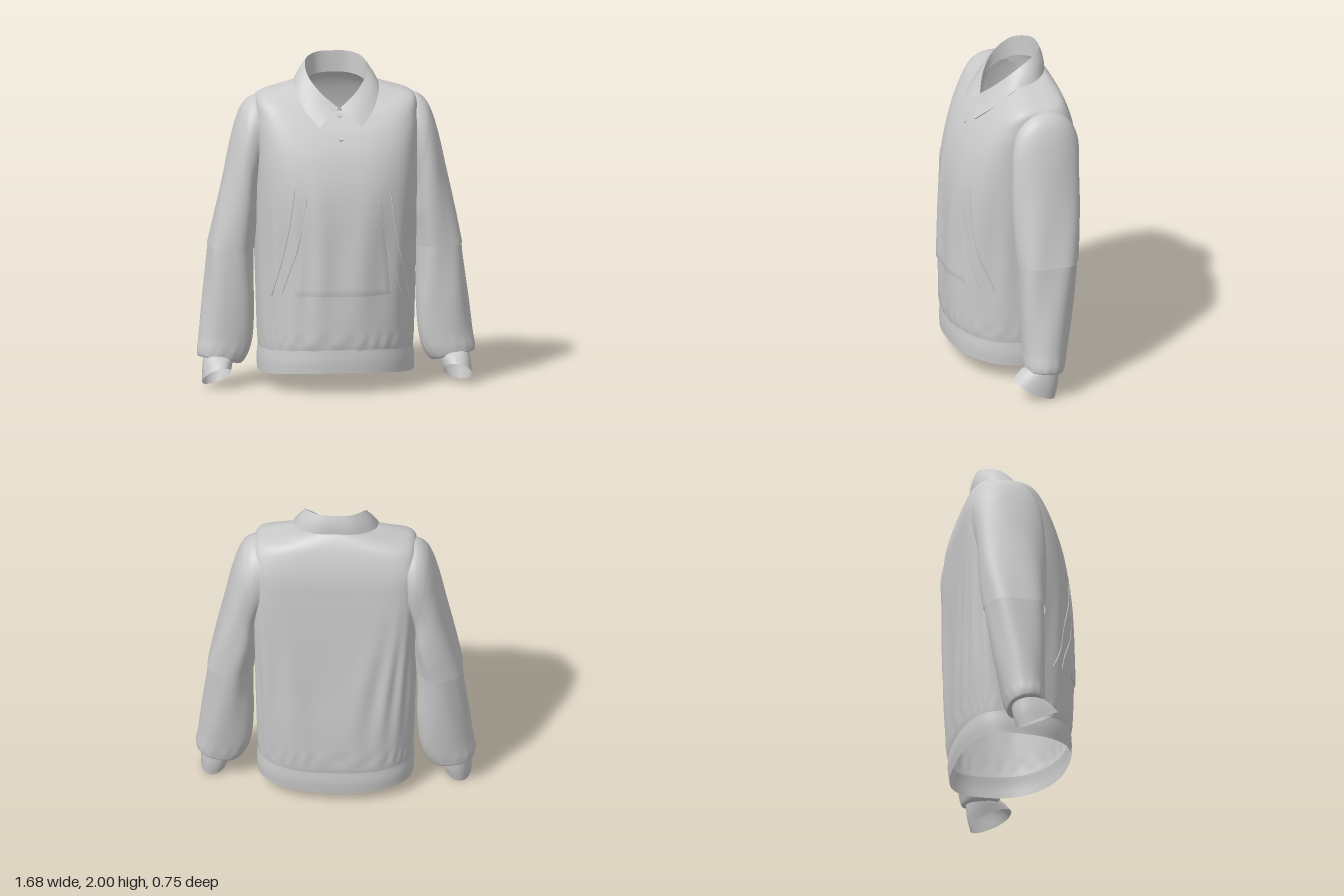
import * as THREE from 'three';

const V = (x, y, z) => new THREE.Vector3(x, y, z);
const cloth = new THREE.MeshStandardMaterial({ color: 0xcccccc, side: THREE.DoubleSide });

// Skin a grid of points: rows[i][j], each row optionally closed into a ring; hole(p) leaves faces out
function skin(name, rows, closed, hole = () => false) {
  const n = rows[0].length, m = closed ? n : n - 1, index = [];
  for (let i = 0; i < rows.length - 1; i++)
    for (let j = 0; j < m; j++) {
      const a = i * n + j, b = i * n + (j + 1) % n;
      if (!hole(rows[i][j])) index.push(a, a + n, b, b, a + n, b + n);
    }
  const geo = new THREE.BufferGeometry().setFromPoints(rows.flat());
  geo.setIndex(index);
  geo.computeVertexNormals();
  const mesh = new THREE.Mesh(geo, cloth);
  mesh.name = name;
  return mesh;
}

// Smooth a few key rings into many, column by column
function smooth(rings, steps) {
  const curves = rings[0].map((_, j) => new THREE.CatmullRomCurve3(rings.map(r => r[j]), false, 'centripetal'));
  return Array.from({ length: steps + 1 }, (_, i) => curves.map(c => c.getPoint(i / steps)));
}

const spow = (v, p) => Math.sign(v) * Math.abs(v) ** p;
const bump = (y, mid, width) => Math.exp(-(((y - mid) / width) ** 2));

// Torso ring: half width, front z, back z, heights at front / side / back, squareness front / back
function torsoRing([hx, zf, zb, yf, ys, yb, nf, nb]) {
  const z0 = -0.08;
  return Array.from({ length: 160 }, (_, j) => {
    const a = j / 160 * Math.PI * 2, c = Math.cos(a), s = Math.sin(a), front = s >= 0;
    const p = 2 / (front ? nf : nb), sz = Math.abs(s) ** p;
    return V(hx * spow(c, p), ys + ((front ? yf : yb) - ys) * s * s, z0 + ((front ? zf : zb) - z0) * sz);
  });
}

// Soft vertical folds on the body and fine gathers above the hem
function foldTorso(rows) {
  for (const row of rows)
    row.forEach((p, j) => {
      const a = j / row.length * Math.PI * 2;
      const d = 0.008 * bump(p.y, 0.8, 0.35) * Math.sin(a * 15 + 1.5 * Math.sin(a * 3) + p.y)
        + 0.004 * bump(p.y, 0.31, 0.04) * Math.sin(a * 27 + 2 * Math.sin(a * 5));
      p.x += d * Math.cos(a) * 0.5;
      p.z += d * Math.sin(a);
    });
  return rows;
}

// Armhole in the body, hidden under the sleeve head
const armhole = p => Math.abs(p.x) > 0.4 && ((p.y - 1.49) / 0.19) ** 2 + ((p.z + 0.12) / 0.15) ** 2 < 1;

// Sleeve ring: outer x, y, inner x, y, front z, back z
function sleeveRing([xo, yo, xi, yi, zf, zb], tilt = 0) {
  return Array.from({ length: 56 }, (_, j) => {
    const a = j / 56 * Math.PI * 2, c = spow(Math.cos(a), 0.9), s = spow(Math.sin(a), 0.9);
    return V((xo + xi) / 2 + (xo - xi) / 2 * c, (yo + yi) / 2 + (yo - yi) / 2 * c + tilt * s,
      (zf + zb) / 2 + (zf - zb) / 2 * s);
  });
}

function foldSleeve(rows) {
  for (const row of rows)
    row.forEach((p, j) => {
      const a = j / row.length * Math.PI * 2;
      const d = 0.006 * bump(p.y, 0.85, 0.5) * Math.sin(a * 5 + p.y * 5) + 0.002 * bump(p.y, 0.22, 0.05) * Math.sin(a * 14);
      p.x += d * Math.cos(a);
      p.z += d * Math.sin(a);
    });
  return rows;
}

function createSleeve() {
  const g = new THREE.Group();
  const upper = [
    [0.44, 1.757, 0.45, 1.27, 0.07, -0.322], [0.5, 1.75, 0.462, 1.245, 0.083, -0.328],
    [0.55, 1.71, 0.47, 1.2, 0.095, -0.325], [0.588, 1.635, 0.475, 1.16, 0.1, -0.318],
    [0.627, 1.5, 0.475, 1.1, 0.105, -0.312], [0.67, 1.3, 0.475, 1.02, 0.105, -0.31],
    [0.72, 1.08, 0.485, 0.93, 0.1, -0.3], [0.772, 0.85, 0.492, 0.835, 0.093, -0.28]];
  const lower = [
    [0.765, 0.87, 0.498, 0.85, 0.086, -0.274], [0.785, 0.68, 0.496, 0.68, 0.083, -0.25],
    [0.808, 0.48, 0.49, 0.48, 0.08, -0.22], [0.828, 0.3, 0.505, 0.28, 0.074, -0.185],
    [0.84, 0.215, 0.54, 0.18, 0.073, -0.165], [0.832, 0.185, 0.58, 0.135, 0.065, -0.15],
    [0.79, 0.185, 0.63, 0.15, 0.05, -0.125]];
  g.add(skin('upperSleeve', foldSleeve(smooth(upper.map(r => sleeveRing(r)), 50)), true));
  g.add(skin('lowerSleeve', foldSleeve(smooth(lower.map(r => sleeveRing(r, 0.012)), 44)), true));
  // Cuff tilts forward and inward as it leaves the sleeve
  g.add(skin('cuff', smooth([
    sleeveRing([0.8, 0.2, 0.625, 0.17, 0.055, -0.13], 0.02), sleeveRing([0.812, 0.12, 0.632, 0.135, 0.105, -0.12], 0.045),
    sleeveRing([0.815, 0.045, 0.645, 0.09, 0.15, -0.1], 0.06)], 10), true));
  return g;
}

// Half outline from centre back to centre front, mirrored into a full loop
function collarLine(half) {
  const pts = [...half.slice(1).reverse().map(([x, y, z]) => V(-x, y, z)), ...half.map(p => V(...p))];
  return new THREE.CatmullRomCurve3(pts, false, 'centripetal').getPoints(90);
}

function createCollar() {
  const base = collarLine([[0, 1.87, -0.22], [0.1, 1.865, -0.2], [0.172, 1.845, -0.1], [0.172, 1.8, 0], [0.1, 1.73, 0.085], [0.003, 1.685, 0.125]]);
  const fold = collarLine([[0, 2, -0.218], [0.1, 1.997, -0.2], [0.175, 1.97, -0.11], [0.178, 1.895, 0], [0.11, 1.8, 0.085], [0.005, 1.71, 0.14]]);
  const edge = collarLine([[0, 1.88, -0.238], [0.13, 1.873, -0.224], [0.235, 1.855, -0.14], [0.257, 1.823, -0.01], [0.215, 1.71, 0.118], [0.13, 1.605, 0.218]]);
  // The fall bows slightly outward between the fold and its edge
  const fall = t => fold.map((p, j) => {
    const q = p.clone().lerp(edge[j], t), lift = 0.007 * Math.sin(Math.PI * t), r = Math.hypot(q.x, q.z + 0.06);
    return q.add(V(q.x / r * lift, lift * 0.4, (q.z + 0.06) / r * lift));
  });
  const under = edge.map(p => V(p.x * 0.97, p.y - 0.004, p.z > 0 ? p.z - 0.01 : p.z * 0.97));
  const g = new THREE.Group();
  g.name = 'collar';
  g.add(skin('collarStand', [0, 0.25, 0.5, 0.75, 1].map(t => base.map((p, j) => p.clone().lerp(fold[j], t))), false));
  g.add(skin('collarFall', [0, 0.1, 0.25, 0.4, 0.55, 0.7, 0.85, 1].map(fall), false));
  g.add(skin('collarEdge', [edge, under], false));
  return g;
}

export function createModel() {
  const model = new THREE.Group();

  // Body, from the hem seam up over the shoulders to the neckline
  const torso = skin('torso', foldTorso(smooth([
    [0.464, 0.354, -0.35, 0.26, 0.23, 0.2, 2.4, 2.7], [0.468, 0.362, -0.358, 0.31, 0.28, 0.25, 2.4, 2.7],
    [0.476, 0.368, -0.367, 0.5, 0.5, 0.5, 2.35, 3], [0.482, 0.364, -0.364, 0.8, 0.8, 0.8, 2.4, 3.6],
    [0.488, 0.343, -0.356, 1.18, 1.2, 1.2, 2.7, 5], [0.49, 0.288, -0.348, 1.41, 1.46, 1.45, 3, 6],
    [0.492, 0.226, -0.336, 1.55, 1.65, 1.62, 3, 5.5], [0.475, 0.176, -0.3, 1.63, 1.757, 1.76, 2.8, 4],
    [0.35, 0.147, -0.262, 1.67, 1.807, 1.84, 2.3, 2.6], [0.185, 0.12, -0.225, 1.7, 1.845, 1.885, 2, 2.1]].map(torsoRing), 100)), true, armhole);
  model.add(torso);

  // Hem band
  model.add(skin('hemBand', smooth([
    [0.465, 0.356, -0.352, 0.27, 0.24, 0.21, 2.4, 2.7], [0.472, 0.36, -0.354, 0.2, 0.17, 0.14, 2.4, 2.6],
    [0.47, 0.357, -0.346, 0.13, 0.095, 0.06, 2.4, 2.5]].map(torsoRing), 10), true));

  // Sleeves, the right one mirrored
  for (const side of [1, -1]) {
    const sleeve = createSleeve();
    sleeve.name = side > 0 ? 'leftSleeve' : 'rightSleeve';
    sleeve.scale.x = side;
    model.add(sleeve);
  }

  model.add(createCollar());

  // Lay points onto the front of the body
  const ray = new THREE.Raycaster();
  const drape = (x, y, lift) => {
    ray.set(V(x, y, 2), V(0, 0, -1));
    const hit = ray.intersectObject(torso)[0];
    return V(x, y, (hit ? hit.point.z : 0.2) + lift);
  };

  // Front pocket: raised along the bottom, fading into the body at the top
  const pocket = [];
  for (let i = 0; i <= 14; i++) {
    const t = Math.max(0, i - 1) / 13, y = 0.6 + 0.55 * t, row = [];
    for (let j = 0; j <= 28; j++) {
      const u = j / 14 - 1;
      row.push(drape(u * (0.29 - 0.05 * t), y, Math.abs(u) > 0.99 || i === 0 ? 0 : 0.003 + 0.006 * (1 - t)));
    }
    pocket.push(row);
  }
  model.add(skin('frontPocket', pocket, false));

  // Curved pocket welts and folds down each side
  for (const s of [1, -1])
    for (const line of [[[0.22, 1.2], [0.26, 0.95], [0.36, 0.6]], [[0.29, 1.24], [0.33, 0.95], [0.415, 0.58]]]) {
      const path = new THREE.CatmullRomCurve3(line.map(([x, y]) => V(s * x, y, 0))).getPoints(16).map(p => drape(p.x, p.y, -0.002));
      const welt = new THREE.Mesh(new THREE.TubeGeometry(new THREE.CatmullRomCurve3(path), 32, 0.006, 6), cloth);
      welt.name = 'pocketWelt';
      model.add(welt);
    }

  // Placket buttons
  for (const y of [1.67, 1.54]) {
    const button = new THREE.Mesh(new THREE.CylinderGeometry(0.014, 0.016, 0.012, 20), cloth);
    button.name = 'button';
    button.position.copy(drape(0, y, 0.003));
    button.rotation.x = 1.0;
    model.add(button);
  }
  return model;
}
